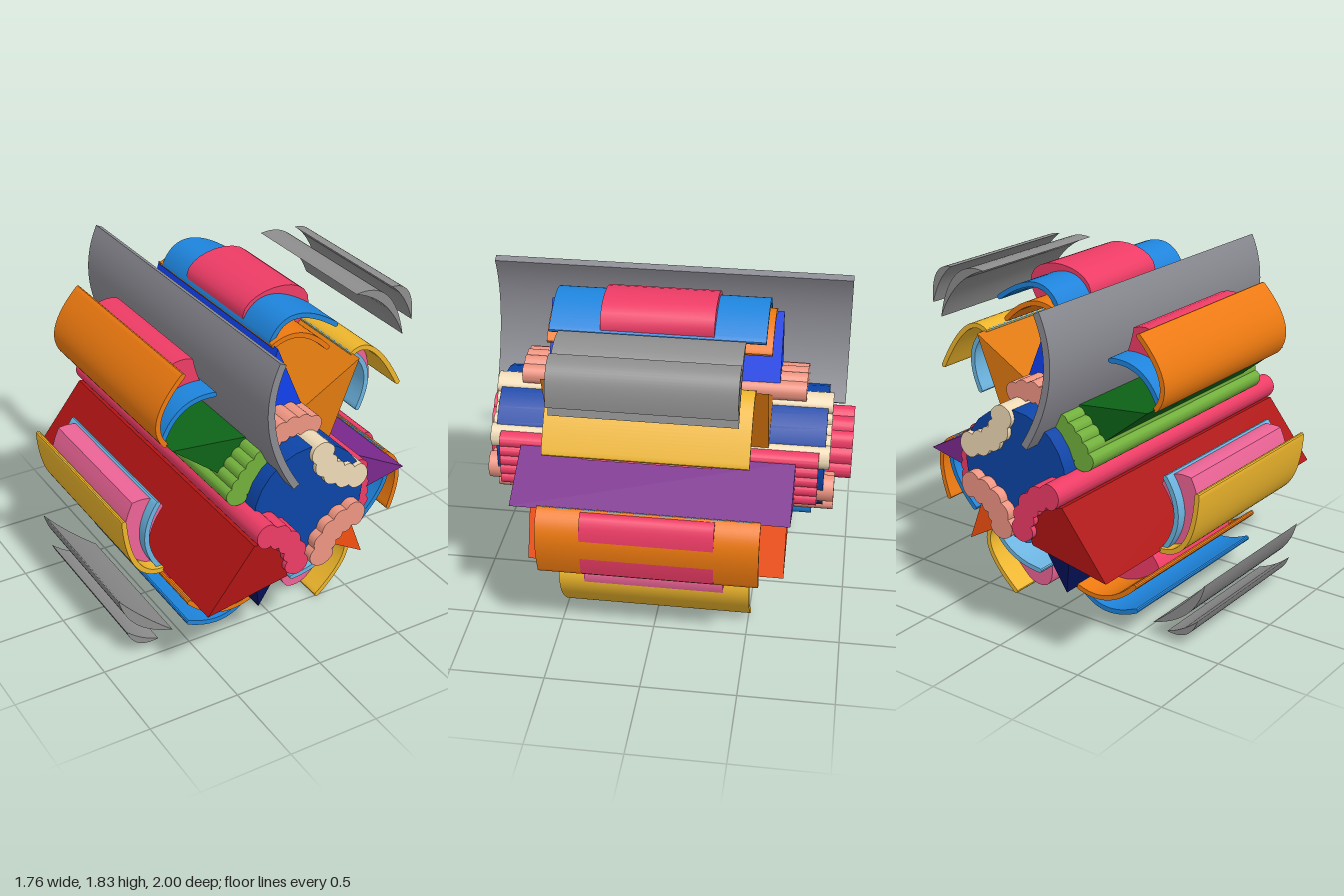
import * as THREE from 'three';
import { toCreasedNormals } from 'three/addons/utils/BufferGeometryUtils.js';

// Drawing-sheet coordinates (x right, y down) to model units
const P = ([x, y]) => new THREE.Vector2((x - 238.5) / 208, (414 - y) / 207.5);
const CORE = P([236.5, 223]);
const arc = (start, ctrl, end) => new THREE.QuadraticBezierCurve(P(start), P(ctrl), P(end));

const RED = 0xee3c66, PINK = 0xec6496, BLUE = 0x1e84dc, SKY = 0x6cb4e0;
const YELLOW = 0xeeb62c, ORANGE = 0xee7a10, SALMON = 0xee9582, GREY = 0x8e8e8e;

// Points at both sides of a curve, running round it as one loop
function bothSides(curve, radius, steps) {
  const left = [], right = [];
  for (let i = 0; i <= steps; i++) {
    const c = curve.getPointAt(i / steps), t = curve.getTangentAt(i / steps);
    const n = new THREE.Vector2(-t.y, t.x).multiplyScalar(radius);
    left.push(c.clone().add(n));
    right.unshift(c.clone().sub(n));
  }
  return { left, right };
}

// Curved strip of constant width with rounded ends
function band(curve, radius = 0.0132) {
  const { left, right } = bothSides(curve, radius, 24);
  const cap = (u, dir) => {
    const c = curve.getPointAt(u), t = curve.getTangentAt(u).multiplyScalar(dir * radius);
    const side = new THREE.Vector2(-t.y, t.x);
    return [1, 2, 3, 4].map((k) => c.clone()
      .addScaledVector(side, Math.cos(k * Math.PI / 5))
      .addScaledVector(t, Math.sin(k * Math.PI / 5)));
  };
  return new THREE.Shape([...left, ...cap(1, 1), ...right, ...cap(0, -1)]);
}

// Curved strip whose whole edge is made of rounded bumps
function bumpyBand(curve, radius, bumps = 5, bulge = 0.45) {
  const { left, right } = bothSides(curve, radius, bumps);
  const p = [...left, ...right];
  const s = new THREE.Shape().moveTo(p[0].x, p[0].y);
  p.forEach((a, i) => {
    const b = p[(i + 1) % p.length];
    s.quadraticCurveTo((a.x + b.x) / 2 - (b.y - a.y) * bulge,
      (a.y + b.y) / 2 + (b.x - a.x) * bulge, b.x, b.y);
  });
  return s;
}

// Leaf: full outer side, curved end, then the inner side back to the tip
function leafShape(tip, out1, out2, corner1, endCtrl, corner2, inCtrl) {
  const t = P(tip), c = P(corner1);
  const s = new THREE.Shape().moveTo(t.x, t.y);
  s.bezierCurveTo(...P(out1), ...P(out2), c.x, c.y);
  s.quadraticCurveTo(...P(endCtrl), ...P(corner2));
  s.quadraticCurveTo(...P(inCtrl), t.x, t.y);
  return s;
}

// Crescent between two arcs sharing their ends
function crescentShape(start, end, ctrlA, ctrlB) {
  return new THREE.Shape([...arc(start, ctrlA, end).getPoints(16),
    ...arc(end, ctrlB, start).getPoints(16).slice(1, -1)]);
}

export function createModel() {
  const model = new THREE.Group();
  // Extrude a shape evenly to both sides of z = 0
  const add = (name, shape, half, color, parent = model) => {
    const g = new THREE.ExtrudeGeometry(shape, { depth: half * 2, bevelEnabled: false, curveSegments: 12 });
    g.translate(0, 0, -half);
    const mesh = new THREE.Mesh(toCreasedNormals(g, 0.6), new THREE.MeshStandardMaterial({ color }));
    mesh.name = name;
    parent.add(mesh);
  };

  // Round core
  add('core', new THREE.Shape().absarc(CORE.x, CORE.y, 0.32, 0, Math.PI * 2), 0.86, 0x0d45a8);

  // Pointed ray, with a curling petal of one leaf and two bands at its tip
  const arm = (name, tip, ray, petal) => {
    const [a, b] = ray.base.map(P);
    const root = a.clone().add(b).multiplyScalar(0.5).lerp(CORE, 0.5);
    const g = new THREE.Group();
    g.name = name;
    add('ray', new THREE.Shape([P(tip), a, root, b]), ray.half, ray.color, g);
    const { warm } = petal;
    add('leaf', leafShape(tip, ...petal.leaf), petal.half, warm ? RED : PINK, g);
    add('wideBand', band(arc(tip, ...petal.wide)), warm ? 0.57 : 0.51, warm ? ORANGE : YELLOW, g);
    add('narrowBand', band(arc(tip, ...petal.narrow)), warm ? 0.542 : 0.488, warm ? BLUE : SKY, g);
    model.add(g);
  };
  arm('topArm', [229, 67],
    { base: [[208, 138], [259, 138]], half: 0.605, color: 0x1040ee },
    { warm: true, half: 0.285, wide: [[261, 50], [294, 85]], narrow: [[248, 22], [308, 65]],
      leaf: [[215, 30], [312, 20], [309, 62], [304, 76], [296, 84], [261, 50]] });
  arm('upperRightArm', [336, 109],
    { base: [[261, 152], [302, 193]], half: 0.57, color: 0xe07a10 },
    { half: 0.32, wide: [[362, 91], [398, 160]], narrow: [[373, 134], [349, 181]],
      leaf: [[364, 100], [388, 130], [388, 171], [370, 182], [350, 181], [373, 134]] });
  arm('rightArm', [380, 240],
    { base: [[311, 203], [311, 255]], half: 0.715, color: 0x7b2a8e },
    { warm: true, half: 0.342, wide: [[408, 256], [387, 312]], narrow: [[401, 274], [354, 319]],
      leaf: [[400, 228], [404, 275], [391, 312], [338, 332], [341, 289], [380, 280]] });
  arm('lowerRightArm', [334, 339],
    { base: [[303, 256], [259, 296]], half: 0.685, color: 0xf65010 },
    { half: 0.373, wide: [[356, 365], [302, 411]], narrow: [[318, 375], [270, 378]],
      leaf: [[360, 332], [338, 390], [298, 409], [268, 418], [271, 379], [318, 375]] });
  arm('bottomArm', [203, 370],
    { base: [[196, 290], [246, 305]], half: 0.66, color: 0x040f54 },
    { warm: true, half: 0.34, wide: [[164, 386], [128, 349]], narrow: [[177, 403], [130, 380]],
      leaf: [[180, 333], [158, 322], [141, 331], [133, 337], [128, 349], [170, 400]] });
  arm('lowerLeftArm', [103, 304],
    { base: [[157, 236], [196, 287]], half: 0.97, color: 0xb01414 },
    { half: 0.43, wide: [[64, 305], [60, 232]], narrow: [[73, 265], [102, 224]],
      leaf: [[68, 305], [56, 265], [78, 222], [104, 217], [114, 237], [85, 273]] });
  arm('upperLeftArm', [103, 145],
    { base: [[200, 155], [158, 189]], half: 0.635, color: 0x0e6418 },
    { warm: true, half: 0.4, wide: [[80, 117], [124, 73]], narrow: [[120, 102], [163, 107]],
      leaf: [[95, 100], [125, 66], [155, 78], [157, 90], [163, 106], [120, 102]] });

  // Bumpy collars where the rays meet the core
  const collar = (name, start, ctrl, end, half, color, radius = 0.05) =>
    add(name, bumpyBand(arc(start, ctrl, end), radius), half, color);
  collar('topCollar', [202, 155], [234, 133], [260, 152], 0.745, SALMON, 0.043);
  collar('upperRightCollar', [249, 157], [247, 197], [301, 207], 0.885, 0xeedab6);
  collar('rightCollar', [300, 200], [305, 227], [303, 253], 0.83, RED);
  collar('lowerRightCollar', [295, 246], [247, 254], [247, 293], 0.915, SALMON, 0.055);
  collar('bottomCollar', [192, 280], [222, 306], [252, 292], 0.8, BLUE, 0.043);
  collar('lowerLeftCollar', [161, 224], [205, 229], [204, 278], 1, RED);
  collar('upperLeftCollar', [196, 165], [171, 180], [158, 206], 0.775, 0x72b03c);

  // Long curved blade beside the top ray
  const blade = bothSides(arc([190, 42], [158, 106], [209, 185]), 0.019, 24);
  add('longBlade', new THREE.Shape([...blade.left, ...blade.right]), 0.945, 0x8a8a92);

  // Loose crescents in two opposite corners
  const crescent = (name, ...points) => add(name, crescentShape(...points), 0.457, GREY);
  crescent('upperLargeCrescent', [345, 47], [409, 109], [395, 38], [389, 60]);
  crescent('upperSmallCrescent', [391, 49], [420, 94], [422, 48], [410, 62]);
  crescent('lowerLargeCrescent', [55, 335], [119, 397], [65, 382], [81, 366]);
  crescent('lowerSmallCrescent', [63, 379], [101, 402], [72, 407], [80, 395]);

  return model;
}
